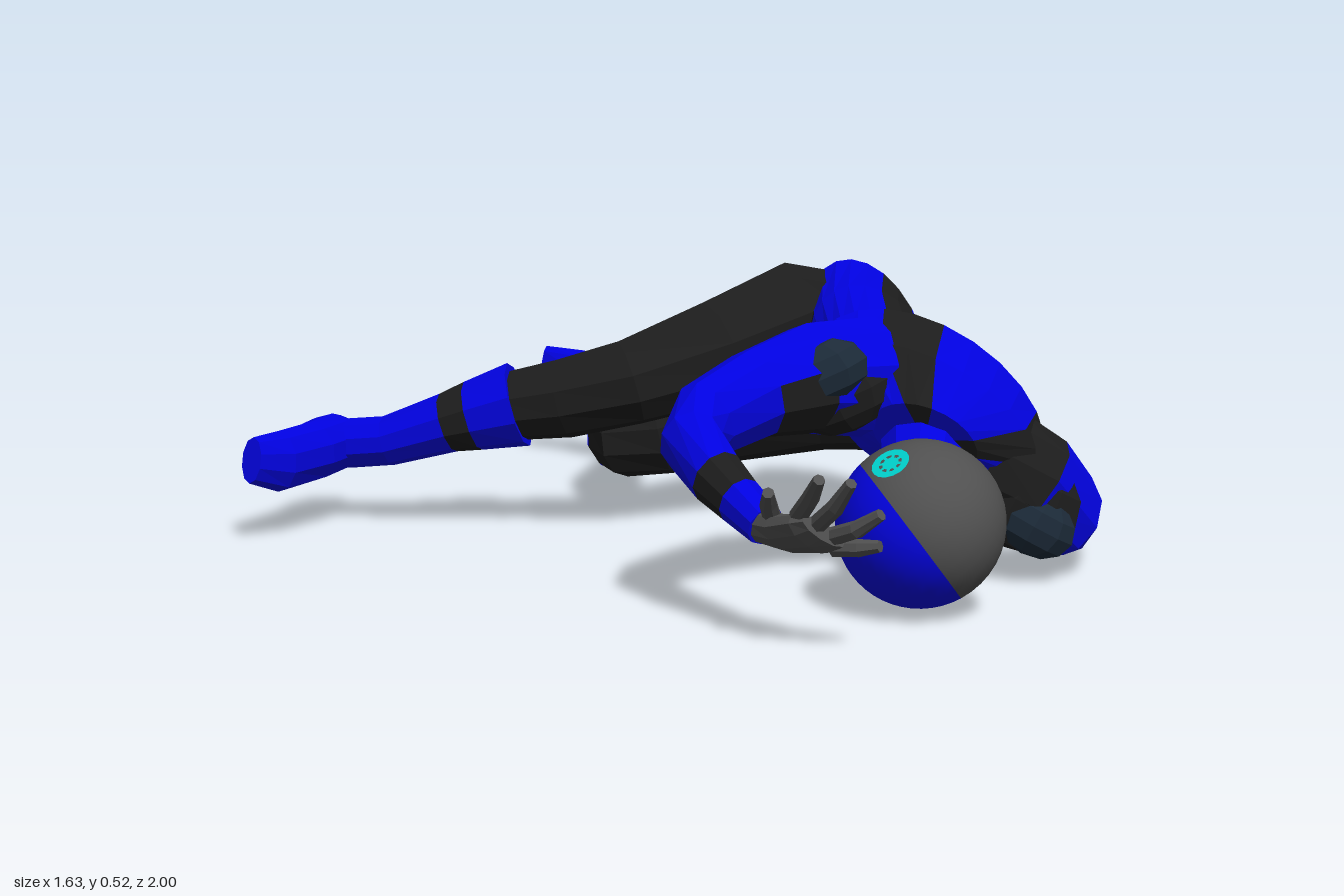
import * as THREE from 'three';

const mat = (name, color, extra = {}) => {
  const m = new THREE.MeshStandardMaterial({ color, ...extra });
  m.name = name;
  return m;
};

export function createModel() {
  const model = new THREE.Group();
  model.name = 'fallenFigure';
  const blue = mat('suitBlue', 0x0202e0, { flatShading: true });
  const dark = mat('suitBlack', 0x1d1d1d, { flatShading: true });
  const slate = mat('shoulderSlate', 0x1c2a38, { flatShading: true });
  const grey = mat('maskGrey', 0x505050);
  const teal = mat('emblemTeal', 0x00d0cc);
  const suit = [blue, dark];
  const V = (x, y, z) => new THREE.Vector3(x, y, z);

  // Section: [x, y, z, radius along u, radius along v, tilt of u in degrees (90 = up)].
  // pick(i, j) gives the index in mats for segment i (-1 = start cap) and column j.
  function loft(name, sections, sides, mats, pick = () => 0, parent = model) {
    const centres = sections.map(s => V(s[0], s[1], s[2]));
    const last = sections.length - 1;
    const rings = sections.map((s, i) => {
      const t = centres[Math.min(i + 1, last)].clone().sub(centres[Math.max(i - 1, 0)]).normalize();
      const a = THREE.MathUtils.degToRad(s[5] ?? 90);
      const u = V(-Math.cos(a), Math.sin(a), 0);
      u.addScaledVector(t, -u.dot(t)).normalize();
      const v = t.clone().cross(u);
      return Array.from({ length: sides }, (_, j) => {
        const q = j / sides * Math.PI * 2;
        return centres[i].clone().addScaledVector(u, s[3] * Math.cos(q)).addScaledVector(v, s[4] * Math.sin(q));
      });
    });
    const buckets = mats.map(() => []);
    for (let j = 0; j < sides; j++) {
      const k = (j + 1) % sides;
      for (let i = 0; i < last; i++) {
        const [a, b, c, d] = [rings[i][j], rings[i][k], rings[i + 1][k], rings[i + 1][j]];
        buckets[pick(i, j)].push(a, b, c, a, c, d);
      }
      buckets[pick(-1, j)].push(centres[0], rings[0][k], rings[0][j]);
      buckets[pick(last, j)].push(centres[last], rings[last][j], rings[last][k]);
    }
    const geo = new THREE.BufferGeometry().setFromPoints(buckets.flat());
    let start = 0;
    buckets.forEach((b, i) => { geo.addGroup(start, b.length, i); start += b.length; });
    geo.computeVertexNormals();
    const mesh = new THREE.Mesh(geo, mats);
    mesh.name = name;
    parent.add(mesh);
  }

  // Torso, twisting from hips to shoulders, with two dark stripes beside the spine
  loft('torso', [
    [.43, .325, -.4, .11, .06, 70], [.42, .335, -.35, .175, .1, 70], [.41, .345, -.27, .19, .115, 70],
    [.41, .34, -.15, .165, .115, 60], [.43, .315, 0, .16, .11, 50], [.46, .31, .14, .195, .13, 42],
    [.47, .32, .27, .24, .14, 34], [.46, .31, .36, .215, .11, 31], [.445, .28, .405, .1, .075, 30],
  ], 24, suit, (i, j) => {
    if (i < 0) return 1;
    if (i < 2) return j > 12 ? 0 : 1;
    if (i === 2 && j > 1 && j < 13) return 1;
    return [13, 14, 19, 20].includes(j) ? 1 : 0;
  });
  loft('neck', [[.45, .28, .35, .08, .08], [.435, .22, .43, .065, .07], [.42, .18, .5, .06, .06]], 10, [blue]);

  // Legs: dark trousers, banded boots and feet
  loft('rightLeg', [
    [.35, .38, -.28, .12, .1], [.25, .4, -.25, .125, .115], [.1, .355, -.17, .105, .1],
    [-.07, .305, -.11, .085, .09], [-.2, .27, -.13, .078, .075], [-.31, .25, -.16, .068, .068],
  ], 10, [dark]);
  loft('leftLeg', [
    [.43, .27, -.32, .14, .105], [.3, .25, -.34, .125, .1], [.12, .195, -.345, .095, .085],
    [0, .16, -.345, .082, .08], [-.08, .145, -.365, .075, .07], [-.095, .143, -.43, .07, .062],
    [-.085, .14, -.5, .06, .06],
  ], 10, [dark]);
  const band = n => i => (i === n ? 1 : 0);
  loft('rightBoot', [
    [-.29, .255, -.155, .085, .08], [-.38, .23, -.17, .07, .07], [-.43, .215, -.18, .06, .062],
    [-.55, .175, -.205, .05, .052], [-.63, .165, -.235, .05, .055], [-.68, .16, -.25, .045, .045],
  ], 10, suit, band(1));
  loft('rightFoot', [
    [-.655, .165, -.305, .045, .04], [-.665, .165, -.25, .058, .065], [-.7, .16, -.17, .06, .055],
    [-.755, .157, -.08, .06, .045], [-.8, .17, -.02, .045, .025],
  ], 10, [blue]);
  loft('leftBoot', [
    [-.085, .14, -.48, .085, .075], [-.075, .145, -.57, .07, .065], [-.065, .15, -.64, .06, .06],
    [-.045, .16, -.76, .048, .05], [-.03, .165, -.84, .045, .055], [-.015, .17, -.9, .04, .045],
  ], 10, suit, band(1));
  loft('leftFoot', [
    [.035, .17, -.87, .045, .045], [-.02, .175, -.865, .06, .07], [-.09, .18, -.885, .055, .062],
    [-.17, .19, -.945, .06, .04], [-.255, .2, -.985, .055, .018],
  ], 10, [blue]);

  // Arms with a dark band above each cuff
  loft('rightArm', [
    [.36, .38, .32, .11, .1], [.24, .385, .37, .1, .1], [.14, .37, .45, .08, .078],
    [.05, .335, .52, .072, .062], [.025, .31, .59, .064, .055], [.065, .265, .67, .052, .046],
    [.1, .235, .72, .043, .04], [.14, .205, .785, .035, .035],
  ], 10, suit, (i, j) => (i === 5 || (i === 1 && j > 4 && j < 8) ? 1 : 0));
  loft('leftArm', [
    [.57, .23, .3, .105, .1], [.66, .175, .305, .1, .09], [.715, .125, .28, .085, .075],
    [.74, .085, .16, .068, .058], [.75, .065, .04, .056, .055], [.762, .083, -.11, .048, .045],
    [.767, .095, -.17, .042, .038], [.76, .1, -.27, .032, .03],
  ], 10, suit, i => (i === 5 || i === 0 ? 1 : 0));

  // Slate pads over dark joints on the front of the shoulders
  const pad = (name, x, y, z, sx, sy, sz, roll, m) => {
    const p = new THREE.Mesh(new THREE.SphereGeometry(1, 9, 6), m);
    p.name = name;
    p.position.set(x, y, z);
    p.rotation.z = roll;
    p.scale.set(sx, sy, sz);
    model.add(p);
  };
  pad('rightShoulderPad', .26, .4, .415, .09, .06, .06, .4, slate);
  pad('leftShoulderPad', .655, .115, .362, .075, .058, .045, -.5, slate);
  pad('rightShoulderJoint', .3, .36, .39, .1, .07, .055, .4, dark);
  pad('leftShoulderJoint', .63, .16, .345, .115, .095, .05, -.5, dark);

  // Hands: palm plus four fingers and a thumb; each digit is [base, knuckle, tip]
  function hand(name, palm, digits) {
    const g = new THREE.Group();
    g.name = name;
    loft('palm', palm, 10, [grey], undefined, g);
    digits.forEach(([a, b, c], i) => loft(i ? 'finger' : 'thumb',
      [[...a, .016, .016], [...b, .015, .015], [...c, .01, .01]], 7, [grey], undefined, g));
    model.add(g);
  }
  hand('rightHand', [
    [.135, .205, .775, .03, .03, 125], [.17, .2, .82, .028, .048, 125],
    [.21, .212, .88, .024, .054, 125], [.225, .22, .905, .014, .045, 125],
  ], [
    [[.15, .22, .81], [.14, .255, .85], [.137, .28, .885]],
    [[.185, .24, .885], [.2, .28, .94], [.21, .32, .985]],
    [[.21, .225, .89], [.24, .27, .95], [.26, .315, .99]],
    [[.235, .205, .88], [.275, .23, .935], [.31, .26, .965]],
    [[.245, .185, .86], [.285, .19, .89], [.315, .197, .91]],
  ]);
  hand('leftHand', [
    [.762, .1, -.255, .028, .028, 105], [.735, .1, -.3, .026, .045, 112],
    [.705, .105, -.36, .022, .055, 112], [.695, .108, -.385, .014, .045, 112],
  ], [
    [[.71, .11, -.3], [.65, .12, -.335], [.598, .135, -.365]],
    [[.665, .12, -.365], [.635, .13, -.41], [.61, .14, -.45]],
    [[.685, .112, -.38], [.66, .125, -.44], [.64, .135, -.495]],
    [[.71, .1, -.38], [.695, .105, -.44], [.68, .115, -.5]],
    [[.735, .09, -.37], [.737, .085, -.43], [.73, .085, -.48]],
  ]);

  // Head: blue face and grey back, with local +y along the face direction
  const face = V(-.8, -.6, .04).normalize();
  const ear = V(-.48, .86, .17);
  ear.addScaledVector(face, -ear.dot(face)).normalize();
  const head = new THREE.Group();
  head.name = 'head';
  head.position.set(.42, .163, .57);
  head.quaternion.setFromRotationMatrix(new THREE.Matrix4().makeBasis(ear, face, ear.clone().cross(face)));
  head.scale.set(.143, .148, .16);
  const maskBlue = mat('maskBlue', 0x0202e0);
  const edge = 1.42;
  for (const [name, m, from, length] of [['faceMask', maskBlue, 0, edge], ['backOfHead', grey, edge, Math.PI - edge]]) {
    const part = new THREE.Mesh(new THREE.SphereGeometry(1, 32, 12, 0, Math.PI * 2, from, length), m);
    part.name = name;
    head.add(part);
  }
  // Web-like ear emblems: thin flat rings joined by spokes
  for (const side of [-1, 1]) {
    const emblem = new THREE.Group();
    emblem.name = 'earEmblem';
    const out = V(side * .95, -.13, .24).normalize();
    emblem.quaternion.setFromUnitVectors(V(0, 0, 1), out);
    emblem.position.copy(out).multiplyScalar(1.01);
    for (const [inner, outer] of [[.001, .1], [.14, .23]]) {
      emblem.add(new THREE.Mesh(new THREE.RingGeometry(inner, outer, 16), teal));
    }
    for (let i = 0; i < 4; i++) {
      const spoke = new THREE.Mesh(new THREE.PlaneGeometry(.4, .04), teal);
      spoke.rotation.z = i * Math.PI / 4;
      spoke.position.z = -.004;
      emblem.add(spoke);
    }
    emblem.children.forEach(c => { c.name = 'emblemLine'; });
    head.add(emblem);
  }
  model.add(head);
  return model;
}
